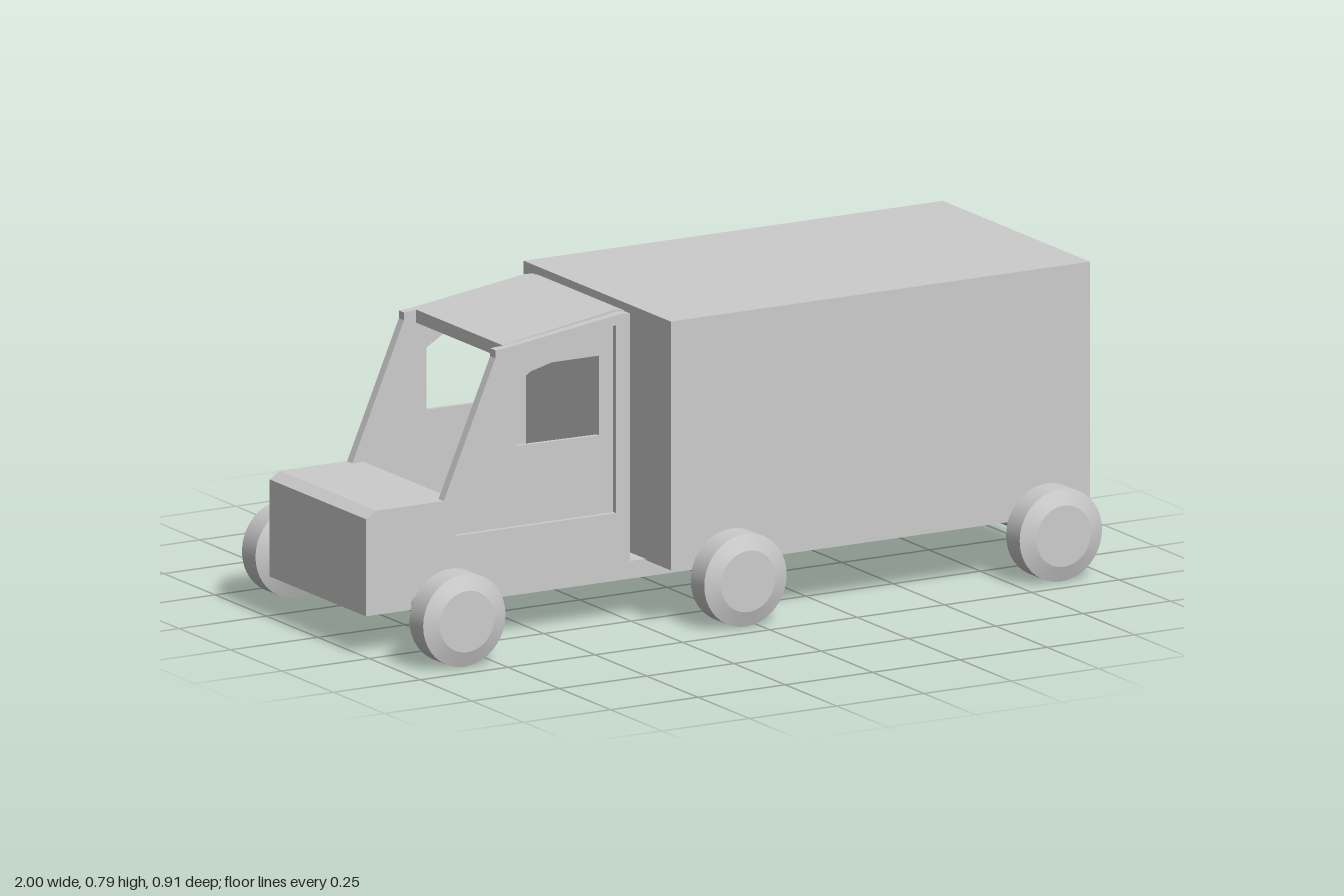
import * as THREE from 'three';
import { toCreasedNormals } from 'three/addons/utils/BufferGeometryUtils.js';

const grey = new THREE.MeshStandardMaterial({ color: 0xcccccc });

function part(parent, name, geometry) {
  const mesh = new THREE.Mesh(geometry, grey);
  mesh.name = name;
  parent.add(mesh);
  return mesh;
}

// Box given by its limits on each axis
function block(parent, name, [x0, x1], [y0, y1], [z0, z1]) {
  const mesh = part(parent, name, new THREE.BoxGeometry(x1 - x0, y1 - y0, z1 - z0));
  mesh.position.set((x0 + x1) / 2, (y0 + y1) / 2, (z0 + z1) / 2);
}

const outline = (points) => points.map(([x, y]) => new THREE.Vector2(x, y));

// Side profile extruded across the vehicle from z0 to z1
function slab(points, z0, z1, hole) {
  const shape = new THREE.Shape(outline(points));
  if (hole) shape.holes.push(new THREE.Path(outline(hole)));
  return new THREE.ExtrudeGeometry(shape, { depth: z1 - z0, bevelEnabled: false }).translate(0, 0, z0);
}

export function createModel() {
  const truck = new THREE.Group();
  truck.name = 'boxTruck';

  // Chassis and cab floor
  block(truck, 'chassis', [-0.76, -0.02], [0.105, 0.15], [-0.235, 0.235]);
  block(truck, 'cabFloor', [-0.75, -0.245], [0.149, 0.2], [-0.21, 0.21]);

  // Cab
  const cab = new THREE.Group();
  cab.name = 'cab';
  truck.add(cab);
  const hood = [[-1, 0.105], [-0.745, 0.105], [-0.745, 0.37], [-0.97, 0.37], [-1, 0.352]];
  part(cab, 'hood', slab(hood, -0.235, 0.235));

  const side = [[-0.78, 0.12], [-0.245, 0.12], [-0.245, 0.78], [-0.27, 0.782], [-0.595, 0.737],
    [-0.63, 0.735], [-0.63, 0.715], [-0.78, 0.365]];
  const door = [[-0.742, 0.277], [-0.285, 0.277], [-0.285, 0.755], [-0.6, 0.705], [-0.742, 0.372]];
  const window = [[-0.565, 0.48], [-0.325, 0.477], [-0.325, 0.68], [-0.46, 0.68], [-0.52, 0.665], [-0.565, 0.638]];
  for (const s of [1, -1]) {
    const name = s > 0 ? 'left' : 'right';
    const span = (a, b) => (s > 0 ? [a, b] : [-b, -a]);
    part(cab, name + 'CabSide', slab(side, ...span(0.21, 0.235), door));
    part(cab, name + 'Door', slab(door, ...span(0.21, 0.222), window));
  }

  const roof = [[-0.595, 0.705], [-0.245, 0.75], [-0.245, 0.782], [-0.27, 0.788], [-0.595, 0.738]];
  part(cab, 'roof', slab(roof, -0.21, 0.21));
  block(cab, 'backWall', [-0.28, -0.245], [0.15, 0.77], [-0.21, 0.21]);

  // Cargo box: hollow shell open at the rear, closed at the front
  const cargo = new THREE.Group();
  cargo.name = 'cargoBox';
  truck.add(cargo);
  const shell = slab(
    [[-0.358, 0.147], [0.358, 0.147], [0.358, 0.78], [-0.358, 0.78]], -0.1, 1,
    [[-0.257, 0.217], [0.257, 0.217], [0.257, 0.683], [-0.257, 0.683]]);
  part(cargo, 'cargoShell', shell.rotateY(Math.PI / 2));
  block(cargo, 'cargoFrontWall', [-0.2, -0.1], [0.147, 0.78], [-0.358, 0.358]);

  // Axles with chamfered wheels
  const tyre = [[0, -0.047], [0.08, -0.047], [0.118, -0.033], [0.118, 0.033], [0.078, 0.047], [0, 0.047]];
  const wheelGeo = toCreasedNormals(
    new THREE.LatheGeometry(outline(tyre), 40).rotateX(Math.PI / 2), 0.3);
  const axleGeo = new THREE.CylinderGeometry(0.03, 0.03, 0.76, 32).rotateX(Math.PI / 2);
  const axles = { front: -0.84, middle: -0.035, rear: 0.868 };
  for (const [name, x] of Object.entries(axles)) {
    part(truck, name + 'Axle', axleGeo).position.set(x, 0.119, 0);
    for (const s of [1, -1]) {
      const wheel = part(truck, name + 'Wheel', wheelGeo);
      wheel.position.set(x, 0.119, s * 0.408);
      if (s < 0) wheel.rotation.y = Math.PI;
    }
  }
  return truck;
}
